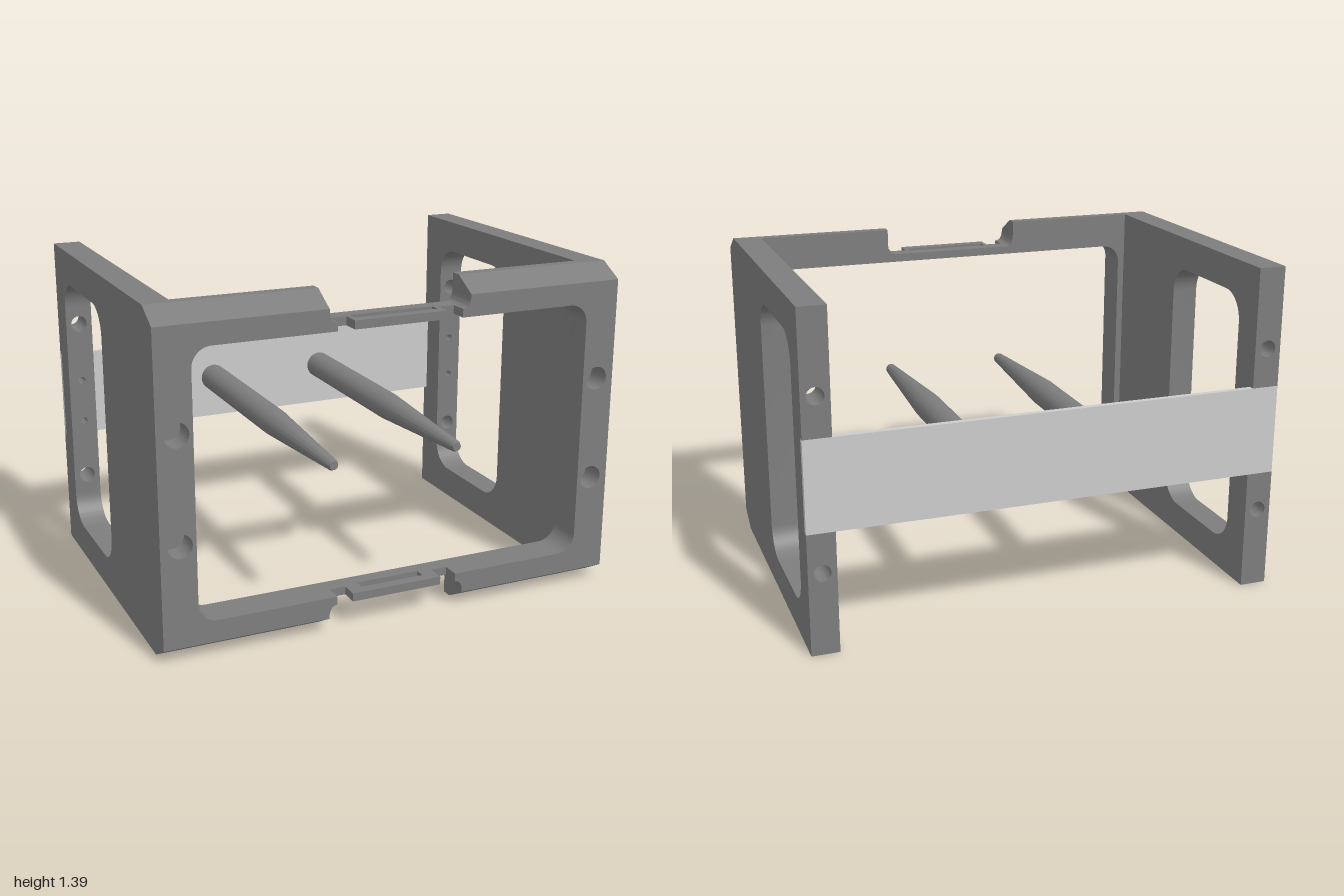
import * as THREE from 'three';
import { toCreasedNormals } from 'three/addons/utils/BufferGeometryUtils.js';

const H = 1.395, FRONT = 0.715, BACK = -0.715;
const INNER = 0.565;    // rear face of the front frame
const CHAMFER_Z = 0.61, CHAMFER_Y = 0.06;
const WALL_X = 0.885, POST_Z = -0.57, BAR_Z = -0.69;
const BAR_LOW = 0.51, BAR_HIGH = 0.89;

const dark = new THREE.MeshStandardMaterial({ color: 0x7d7d7d });
const light = new THREE.MeshStandardMaterial({ color: 0xcccccc });

function extrude(shape, depth) {
  return new THREE.ExtrudeGeometry(shape, { depth, bevelEnabled: false, curveSegments: 10 });
}

function add(parent, name, geometry, material = dark) {
  const mesh = new THREE.Mesh(toCreasedNormals(geometry, 0.5), material);
  mesh.name = name;
  parent.add(mesh);
  return mesh;
}

function rect(x0, y0, x1, y1) {
  return new THREE.Shape([[x0, y0], [x1, y0], [x1, y1], [x0, y1]].map(p => new THREE.Vector2(...p)));
}

function drill(shape, x, y, r) {
  shape.holes.push(new THREE.Path().absarc(x, y, r, 0, Math.PI * 2, true));
  return shape;
}

// C-shaped half of the front frame, with rounded opening and notch corners
function halfFrame() {
  const s = new THREE.Shape();
  s.moveTo(0.27, 0.115);
  s.quadraticCurveTo(0.305, 0.115, 0.305, CHAMFER_Y);
  s.lineTo(0.305, 0);
  s.lineTo(1, 0);
  s.lineTo(1, H);
  s.lineTo(0.305, H);
  s.lineTo(0.305, H - CHAMFER_Y);
  s.quadraticCurveTo(0.305, H - 0.115, 0.27, H - 0.115);
  s.lineTo(0.27, H - 0.15);
  s.lineTo(0.775, H - 0.15);
  s.absarc(0.775, H - 0.23, 0.08, Math.PI / 2, 0, true);
  s.lineTo(0.855, 0.23);
  s.absarc(0.775, 0.23, 0.08, 0, -Math.PI / 2, true);
  s.lineTo(0.27, 0.15);
  return s;
}

// Side wall in (z, y), open towards the rear post
function wallShape() {
  const s = new THREE.Shape();
  s.moveTo(POST_Z, 0);
  s.lineTo(INNER, 0);
  s.lineTo(INNER, H);
  s.lineTo(POST_Z, H);
  s.lineTo(POST_Z, 1.135);
  s.absarc(POST_Z + 0.12, 1.135, 0.12, Math.PI, Math.PI / 2, true);
  s.absarc(-0.095, 1.135, 0.12, Math.PI / 2, 0, true);
  s.absarc(-0.095, 0.26, 0.12, 0, -Math.PI / 2, true);
  s.absarc(POST_Z + 0.12, 0.26, 0.12, -Math.PI / 2, -Math.PI, true);
  return s;
}

function buildSide() {
  const side = new THREE.Group();

  add(side, 'frontFrameBack', extrude(halfFrame(), CHAMFER_Z - INNER).translate(0, 0, INNER));

  // front layer: blind holes, outer edges drawn in to form the chamfer
  const face = drill(drill(halfFrame(), 0.92, 0.92, 0.05), 0.92, 0.48, 0.05);
  const geo = extrude(face, FRONT - CHAMFER_Z).translate(0, 0, CHAMFER_Z);
  const p = geo.attributes.position;
  for (let i = 0; i < p.count; i++) {
    if (p.getZ(i) > FRONT - 0.001) {
      p.setY(i, THREE.MathUtils.clamp(p.getY(i), CHAMFER_Y, H - CHAMFER_Y));
    }
  }
  add(side, 'frontFrameFace', geo);

  add(side, 'sideWall', extrude(wallShape(), 1 - WALL_X).rotateY(-Math.PI / 2).translate(1, 0, 0));

  // rear post: bolt holes run through it, a shallow recess holds the bar
  const post = rect(WALL_X, 0, 1, H), cx = (1 + WALL_X) / 2;
  for (const [y, r] of [[1.055, 0.035], [0.345, 0.035], [0.795, 0.015], [0.605, 0.015]]) {
    drill(post, cx, y, r);
  }
  add(side, 'rearPost', extrude(post, POST_Z - BAR_Z).translate(0, 0, BAR_Z));
  for (const [low, high, y] of [[0, BAR_LOW, 0.345], [BAR_HIGH, H, 1.055]]) {
    const lip = drill(rect(WALL_X, low, 1, high), cx, y, 0.035);
    add(side, 'rearPostLip', extrude(lip, BAR_Z - BACK).translate(0, 0, BACK));
  }

  // tapered pin
  const pin = new THREE.LatheGeometry([
    [0, BAR_Z], [0.06, BAR_Z], [0.06, 0.08], [0.024, 0.675], [0.018, 0.69], [0, 0.69],
  ].map(q => new THREE.Vector2(...q)), 32);
  add(side, 'pin', pin.rotateX(Math.PI / 2).translate(0.275, 0.7, 0));
  return side;
}

// Thin bridge across a notch in (x, z), with two front cuts and a slot
function bridgeShape(slotHalf) {
  const right = [[0.2, FRONT], [0.2, 0.64], [0.27, 0.64], [0.27, INNER]];
  const left = right.map(([x, z]) => [-x, z]).reverse();
  const s = new THREE.Shape([...right, ...left].map(q => new THREE.Vector2(...q)));
  s.holes.push(new THREE.Path(rect(-slotHalf, 0.625, slotHalf, 0.67).getPoints()));
  return s;
}

export function createModel() {
  const model = new THREE.Group();
  model.name = 'bracketFrame';

  const left = buildSide();
  left.name = 'leftSide';
  const right = buildSide();
  right.name = 'rightSide';
  right.scale.x = -1;
  model.add(left, right);

  // bridges: the slot is wider in the outer layer
  const t = 0.0175;
  const layers = [
    ['topBridge', H - 0.115, 0.18], ['topBridge', H - 0.115 - t, 0.14],
    ['bottomBridge', 0.115 + t, 0.18], ['bottomBridge', 0.115 + 2 * t, 0.14],
  ];
  for (const [name, top, slot] of layers) {
    add(model, name, extrude(bridgeShape(slot), t).rotateX(Math.PI / 2).translate(0, top, 0));
  }

  // rear bar carrying the pins
  const bar = new THREE.BoxGeometry(2, BAR_HIGH - BAR_LOW, BAR_Z - BACK);
  add(model, 'rearBar', bar.translate(0, (BAR_HIGH + BAR_LOW) / 2, (BAR_Z + BACK) / 2), light);
  return model;
}
